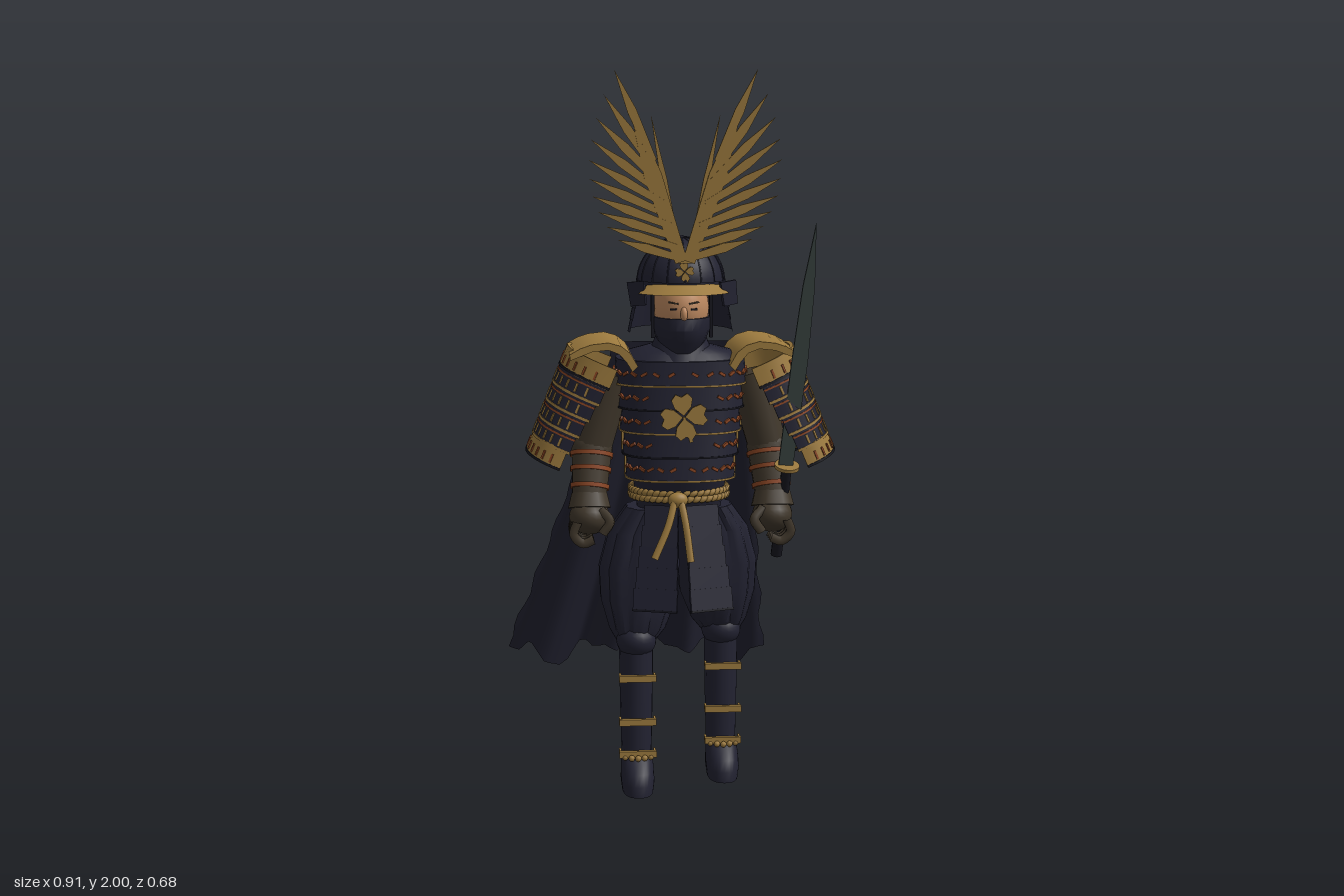
import * as THREE from 'three';
import { toCreasedNormals } from 'three/addons/utils/BufferGeometryUtils.js';

const V = (x, y, z) => new THREE.Vector3(x, y, z);
const lerp = THREE.MathUtils.lerp;
const material = (name, color, side = THREE.FrontSide) => {
  const m = new THREE.MeshStandardMaterial({ color, side });
  m.name = name;
  return m;
};

// Superellipse point at angle a (0 = front), with the facing of its normal.
function rim(a, rx, rz, p = 2) {
  const s = Math.sin(a), c = Math.cos(a), f = (v, e) => Math.sign(v) * Math.abs(v) ** e;
  return { x: rx * f(s, 2 / p), z: rz * f(c, 2 / p), turn: Math.atan2(f(s, 2 - 2 / p) / rx, f(c, 2 - 2 / p) / rz) };
}

// Closed body through sections [y, cx, cz, rx, rz], listed bottom to top.
function loft(sections, n = 28, p = 2, pleat = 0) {
  const pos = [], idx = [], last = (sections.length - 1) * n;
  for (const [y, cx, cz, rx, rz] of sections) for (let i = 0; i < n; i++) {
    const r = rim(Math.PI / 2 - i / n * Math.PI * 2, rx, rz, p), k = 1 - (i % 4 === 0 ? pleat : 0);
    pos.push(cx + r.x * k, y, cz + r.z * k);
  }
  for (const s of [sections[0], sections[sections.length - 1]]) pos.push(s[1], s[0], s[2]);
  for (let j = 0; j < last; j += n) for (let i = 0; i < n; i++) {
    const a = j + i, b = j + (i + 1) % n;
    idx.push(a, a + n, b, b, a + n, b + n);
  }
  for (let i = 0; i < n; i++) {
    const k = (i + 1) % n;
    idx.push(last + n, i, k, last + n + 1, last + k, last + i);
  }
  const g = new THREE.BufferGeometry();
  g.setAttribute('position', new THREE.Float32BufferAttribute(pos, 3));
  g.setIndex(idx);
  return toCreasedNormals(g, 0.7);
}

// Plate wrapped round half an ellipse that bulges towards +x.
function wrapPlate(t, h, w, hz) {
  const g = new THREE.BoxGeometry(t, h, 2, 1, 1, 18), p = g.attributes.position;
  for (let i = 0; i < p.count; i++) {
    const r = rim(p.getZ(i) * Math.PI / 2, hz + p.getX(i), w + p.getX(i), 2.5);
    p.setXYZ(i, r.z, p.getY(i), r.x);
  }
  return toCreasedNormals(g, 0.6);
}

const flat = (points, depth) => new THREE.ExtrudeGeometry(
  new THREE.Shape(points.map(([x, y]) => new THREE.Vector2(x, y))), { depth, bevelEnabled: false });

// Pointed feather blade from (x0, y0) to (x1, y1).
function feather(x0, y0, x1, y1, w) {
  const l = Math.hypot(x1 - x0, y1 - y0), nx = -(y1 - y0) / l * w, ny = (x1 - x0) / l * w;
  const at = (t, k) => [lerp(x0, x1, t) + nx * k, lerp(y0, y1, t) + ny * k];
  return flat([at(0, -0.7), at(0.55, -1), at(1, 0), at(0.55, 1), at(0, 0.7)], 0.006);
}

export function createModel() {
  const navy = material('navy lacquer', 0x222231), black = material('black cord', 0x15151d);
  const gold = material('old gold', 0x9c7a3e), brown = material('brown leather', 0x40372b);
  const orange = material('orange lacing', 0x8a4523), skin = material('skin', 0xbd8960);
  const steel = material('dark steel', 0x46524f), cloth = material('cape cloth', 0x20202e, THREE.DoubleSide);
  const plate = material('lacquer sheet', 0x222231, THREE.DoubleSide);
  const brass = material('gold sheet', 0x9c7a3e, THREE.DoubleSide);

  const root = new THREE.Group(), body = new THREE.Group();
  body.name = 'body';
  body.position.x = 0.03;
  root.add(body);
  const add = (name, geo, mat, x = 0, y = 0, z = 0, parent = body) => {
    const m = new THREE.Mesh(geo, mat);
    m.name = name;
    m.position.set(x, y, z);
    parent.add(m);
    return m;
  };
  const group = (name, x, y, z, parent = body) => {
    const g = new THREE.Group();
    g.name = name;
    g.position.set(x, y, z);
    parent.add(g);
    return g;
  };
  const rod = (name, a, b, ra, rb, mat) => {
    const m = add(name, new THREE.CylinderGeometry(rb, ra, a.distanceTo(b), 14), mat);
    m.position.lerpVectors(a, b, 0.5);
    m.quaternion.setFromUnitVectors(V(0, 1, 0), b.clone().sub(a).normalize());
  };
  const ball = (name, mat, x, y, z, rx, ry, rz) =>
    add(name, new THREE.SphereGeometry(1, 20, 14), mat, x, y, z).scale.set(rx, ry, rz);
  const tube = (name, pts, r, mat, parent = body) =>
    add(name, new THREE.TubeGeometry(new THREE.CatmullRomCurve3(pts), 32, r, 6), mat, 0, 0, 0, parent);

  // Four leaf ornament
  const clover = (x, y, z, s) => {
    const g = group('leafOrnament', x, y, z);
    g.scale.set(s, s, 1);
    for (let i = 0; i < 4; i++) {
      const leaf = add('leaf', flat([[0, 0.05], [-0.35, 0.4], [-0.45, 0.75], [-0.25, 0.98], [0, 0.85],
        [0.25, 0.98], [0.45, 0.75], [0.35, 0.4]], 0.008), gold, 0, 0, 0, g);
      leaf.rotation.z = i * Math.PI / 2 + 0.12;
    }
    add('stem', flat([[-0.06, 0], [0.25, -1.1], [0.4, -1.05], [0.06, 0]], 0.007), gold, 0, 0, 0, g);
  };

  // Cuirass of overlapping rows; orange lacing in front, gold ties round the lower sides
  for (let i = 0; i < 5; i++) {
    const y = 0.88 + i * 0.066, rx = lerp(0.147, 0.178, i / 4), rz = lerp(0.12, 0.13, i / 4);
    add('chestRow', loft([[y, 0, 0.03, rx + 0.006, rz + 0.006], [y + 0.07, 0, 0.03, rx, rz]], 40, 2.6), navy);
    add('chestRowTrim', loft([[y, 0, 0.03, rx + 0.008, rz + 0.008], [y + 0.005, 0, 0.03, rx + 0.008, rz + 0.008]], 40, 2.6), i % 2 ? black : gold);
    for (let k = 0; k < 30; k++) {
      const a = k / 30 * Math.PI * 2 + 0.1, r = rim(a, rx + 0.005, rz + 0.005, 2.6), tie = i < 3 && Math.cos(a) < 0.2;
      if (Math.cos(a) > 0.9 && i > 0 && i < 4) continue;
      const size = tie ? [0.022, 0.05, 0.006] : [0.019, 0.008, 0.006];
      add('lacing', new THREE.BoxGeometry(...size), tie ? gold : orange, r.x, y + 0.035, 0.03 + r.z).rotation.set(0, r.turn, tie ? 0 : k % 2 ? 0.5 : -0.5);
    }
  }
  add('chestTop', loft([[1.2, 0, 0.03, 0.178, 0.13], [1.23, 0, 0.03, 0.15, 0.11], [1.25, 0, 0.04, 0.08, 0.08]], 32, 2.4), navy);
  add('waist', loft([[0.77, 0, -0.01, 0.115, 0.09], [0.9, 0, 0.015, 0.135, 0.11]], 32, 2.2), navy);
  clover(0, 1.065, 0.168, 0.065);

  // Rope belt with knot and hanging ends
  for (const [y, h] of [[0.823, 0], [0.84, 0.5]]) for (let k = 0; k < 44; k++) {
    const r = rim((k + h) / 44 * Math.PI * 2, 0.135, 0.112, 2.2);
    const bead = add('beltStrand', new THREE.SphereGeometry(0.012, 7, 5), gold, r.x, y, -0.01 + r.z);
    bead.rotation.set(0, r.turn, 0.6);
    bead.scale.set(1.2, 0.75, 0.8);
  }
  ball('beltKnot', gold, -0.012, 0.825, 0.115, 0.028, 0.022, 0.02);
  tube('beltEnd', [V(-0.02, 0.83, 0.12), V(-0.04, 0.76, 0.145), V(-0.08, 0.67, 0.165)], 0.01, gold);
  tube('beltEnd', [V(-0.005, 0.83, 0.12), V(0.008, 0.76, 0.145), V(0.02, 0.66, 0.168)], 0.01, gold);

  // Skirt panels, each of five overlapping rows
  for (const a of [0.38, -0.38, Math.PI - 0.4, Math.PI + 0.4]) for (let i = 0; i < 5; i++) {
    const k = i / 4, r = rim(a, lerp(0.14, 0.19, k), lerp(0.115, 0.172, k), 2.2);
    const g = group('skirtRow', r.x, 0.775 - i * 0.056, r.z - 0.005);
    g.rotation.set(-0.2, r.turn, 0, 'YXZ');
    const w = lerp(0.095, 0.125, k);
    add('skirtPlate', new THREE.BoxGeometry(w, 0.064, 0.01), navy, 0, 0, 0, g);
    add('skirtEdge', new THREE.BoxGeometry(w + 0.002, 0.006, 0.012), black, 0, -0.029, 0.001, g);
  }

  for (const s of [-1, 1]) {
    // Legs in a stride, the right one leading: trousers, greaves, straps and boots
    const x = s * 0.125, c = -s * 0.06;
    add('trouserLeg', loft([[0.41, x, c - 0.02, 0.052, 0.055], [0.45, s * 0.12, c * 0.9 - 0.025, 0.08, 0.085], [0.53, s * 0.115, c * 0.75 - 0.035, 0.108, 0.102],
      [0.62, s * 0.113, c * 0.6 - 0.035, 0.114, 0.106], [0.72, s * 0.1, c * 0.4 - 0.03, 0.1, 0.1], [0.79, s * 0.075, c * 0.2 - 0.015, 0.075, 0.085]], 40, 2.2, 0.07), navy);
    ball('kneePad', navy, x, 0.42, c + 0.01, 0.056, 0.05, 0.056);
    add('shin', loft([[0.08, x, c + 0.005, 0.042, 0.052], [0.25, x, c, 0.046, 0.06], [0.4, x, c - 0.003, 0.048, 0.056]], 16, 2.3), navy);
    for (const y of [0.325, 0.2, 0.108]) {
      add('legStrap', new THREE.BoxGeometry(0.104, 0.018, 0.014), gold, x, y, c + 0.075);
      for (const e of [-1, 1]) add('strapEnd', new THREE.BoxGeometry(0.006, 0.014, 0.035), gold, x + e * 0.048, y, c + 0.055);
    }
    for (let k = -2; k <= 2; k++) add('ankleStud', new THREE.SphereGeometry(0.009, 8, 6), gold, x + k * 0.018, 0.1, c + 0.092 - k * k * 0.004);
    add('boot', loft([[0, x, c + 0.05, 0.043, 0.09], [0.03, x, c + 0.05, 0.047, 0.09], [0.06, x, c + 0.042, 0.046, 0.082],
      [0.085, x, c + 0.025, 0.044, 0.068], [0.108, x, c + 0.012, 0.04, 0.056]], 28, 2.4), navy);

    // Arms and gloved hands
    const shoulder = V(s * 0.19, 1.17, 0.03), elbow = V(s * 0.245, 0.96, 0.03), wrist = V(s * 0.255, 0.83, 0.075);
    rod('upperArm', shoulder, elbow, 0.06, 0.054, brown);
    ball('elbow', brown, elbow.x, elbow.y, elbow.z, 0.058, 0.056, 0.056);
    rod('forearm', elbow, wrist, 0.057, 0.048, brown);
    for (const t of [0.1, 0.4, 0.75]) rod('armStrap', elbow.clone().lerp(wrist, t), elbow.clone().lerp(wrist, t + 0.09), 0.062 - t * 0.009, 0.061 - t * 0.009, orange);
    rod('cuff', V(s * 0.255, 0.84, 0.07), V(s * 0.255, 0.8, 0.08), 0.05, 0.06, brown);
    ball('palm', brown, s * 0.255, 0.775, 0.075, 0.056, 0.05, 0.062);
    for (let k = 0; k < 4; k++) {
      const z = 0.128 - k * 0.028;
      tube('finger', [V(s * 0.29, 0.77, z), V(s * 0.3, 0.735, z), V(s * 0.275, 0.71, z), V(s * 0.245, 0.72, z)], 0.014, brown);
    }
    tube('thumb', [V(s * 0.225, 0.8, 0.11), V(s * 0.2, 0.77, 0.125), V(s * 0.22, 0.735, 0.125)], 0.014, brown);

    // Shoulder guard: gold cap above a hanging stack of wrapped rows
    const guard = group(s > 0 ? 'leftShoulderGuard' : 'rightShoulderGuard', 0, 0, 0.038);
    if (s < 0) guard.rotation.y = Math.PI;
    add('shoulderCap', toCreasedNormals(flat([[0.125, 1.205], [0.145, 1.24], [0.17, 1.26], [0.205, 1.27], [0.25, 1.265], [0.28, 1.255], [0.31, 1.238],
      [0.308, 1.222], [0.25, 1.245], [0.205, 1.25], [0.175, 1.238], [0.155, 1.215], [0.14, 1.19]], 0.27).translate(0, 0, -0.135), 0.7), gold, 0, 0, 0, guard);
    for (let i = 0; i < 6; i++) {
      const t = i / 5, w = lerp(0.135, 0.09, t), hz = lerp(0.15, 0.14, t), row = group('guardRow', lerp(0.318, 0.412, t) - w * 0.92, lerp(1.222, 0.985, t) - w * 0.39, 0, guard);
      row.rotation.z = 0.4;
      const solid = i === 0 || i === 5;
      add('guardPlate', wrapPlate(0.01, 0.06, w, hz), solid ? gold : navy, 0, 0, 0, row);
      add('guardEdge', wrapPlate(0.014, 0.007, w, hz), solid ? black : gold, 0, -0.026, 0, row);
      if (!solid) add('guardLacing', wrapPlate(0.013, 0.005, w, hz), orange, 0, 0.012, 0, row);
      for (let k = -5; k <= 5; k++) {
        const r = rim(k * 0.26, hz + 0.005, w + 0.005, 2.5);
        add('guardTie', new THREE.BoxGeometry(0.006, 0.024, 0.006), solid ? orange : gold, r.z, -0.006, r.x, row).rotation.y = -r.turn;
      }
    }

    // Crest wing of feather blades
    const crest = group(s > 0 ? 'leftCrestWing' : 'rightCrestWing', 0, 1.5, 0.197);
    crest.rotation.x = 0.05;
    const tips = new THREE.QuadraticBezierCurve(new THREE.Vector2(0.18, 0.05), new THREE.Vector2(0.33, 0.2), new THREE.Vector2(0.19, 0.5));
    const blade = (x0, y0, x1, y1, w, z) => add('crestFeather', feather(s * x0, y0, s * x1, y1, w), gold, 0, 0, z, crest);
    for (let i = 0; i < 10; i++) {
      const t = i / 9, p = tips.getPoint(t);
      blade(lerp(0.015, 0.085, t), lerp(0, 0.26, t), p.x, p.y, 0.0125, i % 2 * 0.004);
    }
    blade(0.01, -0.01, 0.15, 0.41, 0.024, 0.002);
    blade(0.015, 0, 0.092, 0.38, 0.009, -0.004);

    // Side flaps of the helmet, cords, brows and eyes
    add('helmetFlap', flat([[-0.018, -0.035], [-0.03, 0.03], [0.02, 0.035], [0.026, -0.03]], 0.01), navy, s * 0.122, 1.4, 0.14).rotation.y = s * 0.5;
    add('chinCord', new THREE.BoxGeometry(0.01, 0.13, 0.012), black, s * 0.08, 1.34, 0.1);
    add('eye', new THREE.BoxGeometry(0.018, 0.005, 0.006), black, s * 0.028, 1.358, 0.163).rotation.y = s * 0.3;
    add('brow', new THREE.BoxGeometry(0.028, 0.004, 0.006), brown, s * 0.028, 1.375, 0.162).rotation.set(0, s * 0.3, s * 0.15);
  }

  // Head, mask and throat guard
  ball('face', skin, 0, 1.355, 0.07, 0.077, 0.1, 0.1);
  ball('nose', skin, 0, 1.345, 0.17, 0.01, 0.02, 0.012);
  add('mask', loft([[1.235, 0, 0.09, 0.04, 0.06], [1.265, 0, 0.08, 0.065, 0.09], [1.3, 0, 0.075, 0.08, 0.11], [1.332, 0, 0.07, 0.082, 0.106]], 24), navy);
  add('throatGuard', loft([[1.2, 0, 0.06, 0.1, 0.1], [1.275, 0, 0.055, 0.07, 0.075]], 24), navy);

  // Ribbed helmet bowl
  const bowl = group('helmet', 0, 1.425, 0.06);
  bowl.scale.set(0.12, 0.122, 0.127);
  add('helmetBowl', new THREE.SphereGeometry(1, 32, 12, 0, Math.PI * 2, 0, Math.PI / 2), plate, 0, 0, 0, bowl);
  for (let k = 0; k < 8; k++) add('helmetRib', new THREE.TorusGeometry(1, 0.018, 5, 28, Math.PI), navy, 0, 0, 0, bowl).rotation.y = k * Math.PI / 8;
  add('helmetKnob', new THREE.SphereGeometry(0.11, 12, 8), navy, 0, 0.98, 0, bowl).scale.y = 0.5;
  add('helmetRim', new THREE.CylinderGeometry(1.03, 1.03, 0.15, 32, 1, true), plate, 0, -0.02, 0, bowl);

  // Flared neck guard, open at the face
  for (let i = 0; i < 4; i++) {
    const r = 0.121 + i * 0.005, a = 1.15 + i * 0.06;
    const row = add('neckGuardRow', new THREE.CylinderGeometry(r, r + 0.009, 0.042, 32, 1, true, a, Math.PI * 2 - a * 2), plate, 0, 1.41 - i * 0.034, 0.055 - i * 0.005);
    row.scale.z = 1.08;
  }
  const visor = add('visor', new THREE.CylinderGeometry(0.122, 0.162, 0.026, 24, 1, true, -1, 2), brass, 0, 1.414, 0.072);
  visor.scale.x = 0.9;
  clover(0, 1.462, 0.186, 0.026);
  add('crestMount', new THREE.BoxGeometry(0.05, 0.03, 0.02), gold, 0, 1.5, 0.188);

  // Sword held in the left hand
  const sword = group('sword', 0.272, 0.65, 0.035);
  sword.quaternion.setFromUnitVectors(V(0, 1, 0), V(0.063, 0.95, 0.3).normalize());
  add('swordGrip', new THREE.CylinderGeometry(0.014, 0.016, 0.28, 10), black, 0, 0.14, 0, sword);
  add('swordGuard', new THREE.CylinderGeometry(0.035, 0.035, 0.01, 16), gold, 0, 0.28, 0, sword);
  add('swordBlade', flat([[-0.024, 0.28], [0.016, 0.28], [0.022, 0.6], [0.016, 0.82], [0, 0.998], [-0.016, 0.82], [-0.022, 0.6]], 0.009), steel, 0, 0, -0.0045, sword);

  // Wind-blown cape with a torn hem and stitched lines
  const hem = u => 0.925 + 0.04 * Math.abs((u * 8.6 + 0.3) % 2 - 1) * (1 + Math.sin(u * 9)) - 0.02 * Math.abs((u * 21) % 2 - 1);
  const capePoint = (u, v, out = 0) => V(
    lerp(-0.15 - 0.305 * v ** 1.2, 0.23 + 0.07 * v, u) + 0.008 * v * Math.sin(v * 40) * (u === 0 || u === 1 ? 1 : 0),
    1.24 - v * hem(u),
    -0.108 - 0.197 * v - 0.012 * (1 - v) * Math.sin(u * Math.PI) - 0.032 * v * Math.cos(u * Math.PI * 2 / 0.28) - out);
  const cape = new THREE.PlaneGeometry(1, 1, 84, 28), cp = cape.attributes.position, uv = cape.attributes.uv;
  for (let i = 0; i < cp.count; i++) {
    const p = capePoint(uv.getX(i), 1 - uv.getY(i));
    cp.setXYZ(i, p.x, p.y, p.z);
  }
  cape.computeVertexNormals();
  add('cape', cape, cloth, 0, 0, 0, root);
  for (const v of [0.06, 0.11]) for (let k = 0; k < 24; k++) {
    const u = 0.12 + k * 0.032, at = t => capePoint(t, v + 0.01 * Math.sin(t * 22), 0.004);
    tube('capeStitch', [at(u), at(u + 0.012), at(u + 0.025)], 0.0028, k % 3 ? gold : orange, root);
  }
  return root;
}
